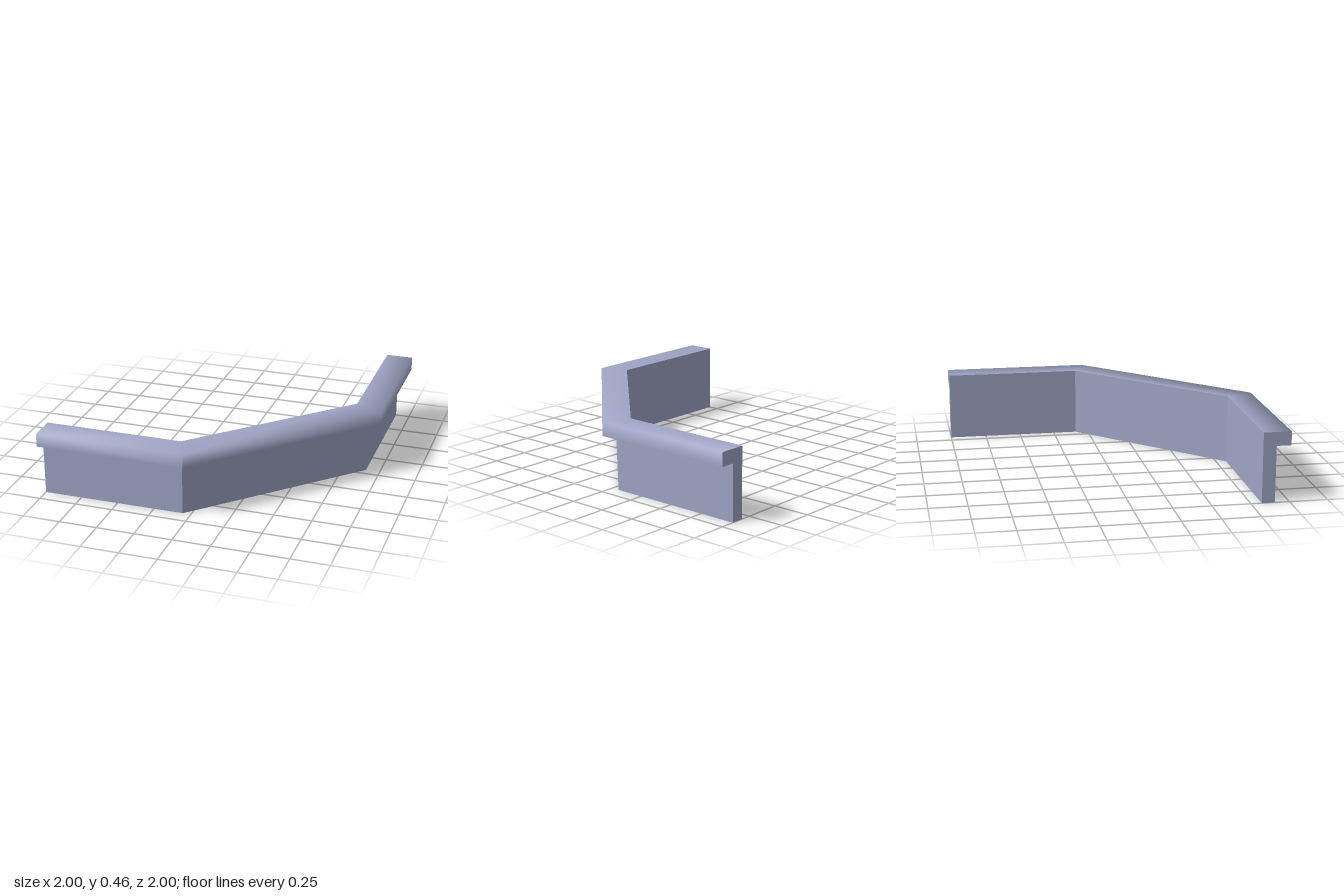
import * as THREE from 'three';

// Plan points along the angled run, d = offset of the line from the centre (x, z)
const corner = (d) => -0.015 - (1 - d) * Math.tan(Math.PI / 8);
const line = (d) => [[-1, d], [corner(d), d], [d, corner(d)], [d, -1]];

const OUTER = 1, FACE = 0.905, INNER = 0.82;
const WALL_TOP = 0.37, TOP = 0.46;

// Solid band between two offsets, standing from y0 to y1
function band(outer, inner, y0, y1) {
  const pts = [...line(outer), ...line(inner).reverse()];
  const shape = new THREE.Shape(pts.map(([x, z]) => new THREE.Vector2(x, -z)));
  const geo = new THREE.ExtrudeGeometry(shape, { depth: y1 - y0, bevelEnabled: false });
  geo.rotateX(-Math.PI / 2);
  geo.translate(0, y0, 0);
  return geo;
}

// Smooth the shading over the cap's upper outer edge, leaving other edges sharp
function softenOuterEdge(geo) {
  const pos = geo.attributes.position, nor = geo.attributes.normal;
  const p = new THREE.Vector3(), n = new THREE.Vector3();
  const edge = line(OUTER);
  const angles = [0, Math.PI / 8, Math.PI * 3 / 8, Math.PI / 2];
  for (let i = 0; i < pos.count; i++) {
    p.fromBufferAttribute(pos, i);
    n.fromBufferAttribute(nor, i);
    const k = edge.findIndex(([x, z]) => Math.hypot(p.x - x, p.z - z) < 1e-3);
    const topOrOuter = n.y > 0.5 || n.x + n.z > 0.5;
    if (k < 0 || p.y < TOP - 1e-3 || !topOrOuter) continue;
    n.set(Math.sin(angles[k]), 1, Math.cos(angles[k])).normalize();
    nor.setXYZ(i, n.x, n.y, n.z);
  }
  return geo;
}

export function createModel() {
  const group = new THREE.Group();
  group.name = 'angledParapet';
  const material = new THREE.MeshStandardMaterial({ color: 0x9ea4c4 });
  material.name = 'blueGrey';

  // Upright wall, flush with the cap on the inner side
  const wall = new THREE.Mesh(band(FACE, INNER, 0, WALL_TOP), material);
  wall.name = 'wall';

  // Overhanging cap rail
  const cap = new THREE.Mesh(softenOuterEdge(band(OUTER, INNER, WALL_TOP, TOP)), material);
  cap.name = 'capRail';

  group.add(wall, cap);
  return group;
}
